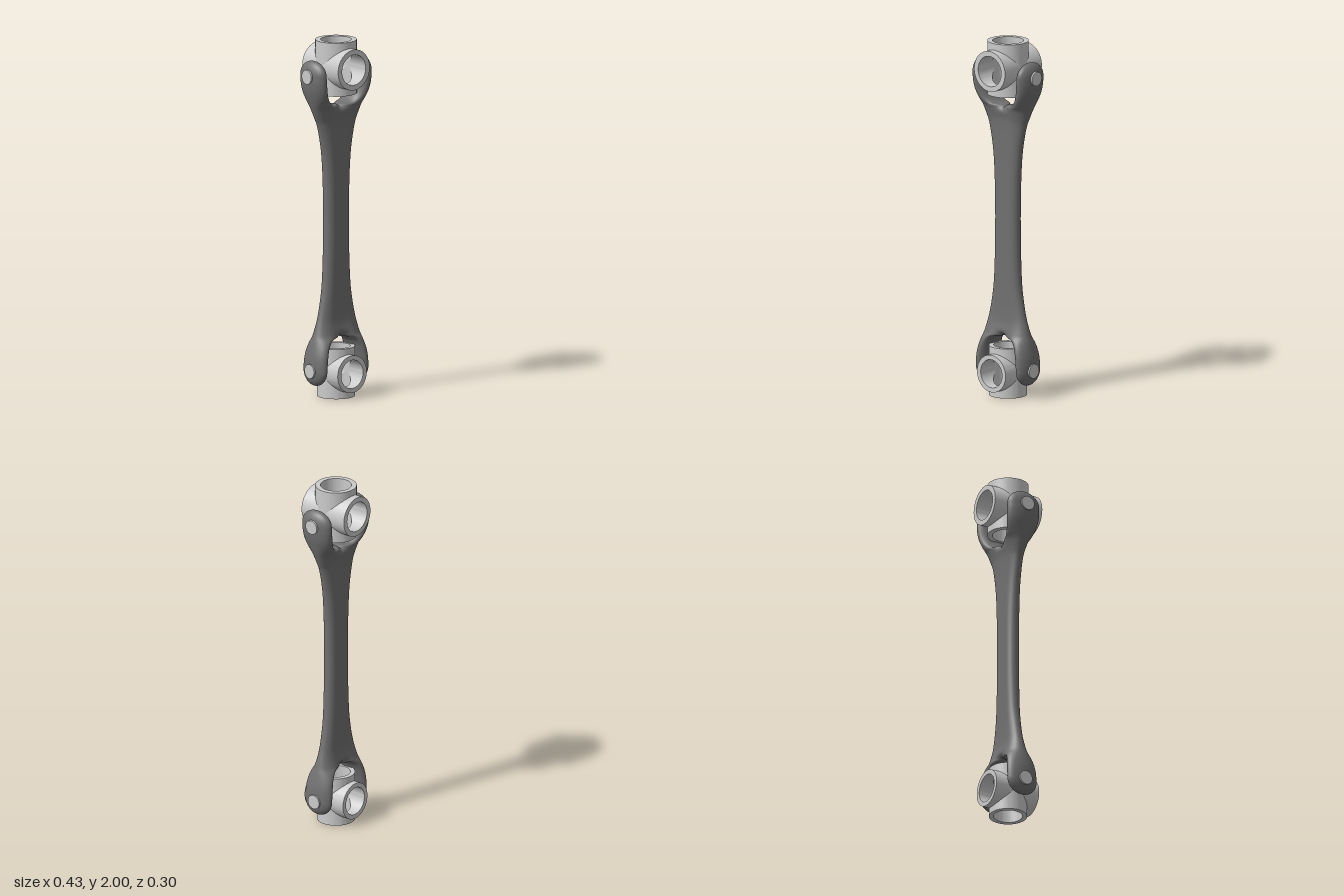
import * as THREE from 'three';
import { mergeVertices, toCreasedNormals } from 'three/addons/utils/BufferGeometryUtils.js';

const steel = new THREE.MeshStandardMaterial({ color: 0xcccccc });
const dark = new THREE.MeshStandardMaterial({ color: 0x707070 });

// Each rib runs from an inner point to an outer point:
// [innerX, innerY, outerX, outerY, half thickness, inner edge rounding]
const UPPER = {
  dir: 1, tip: 0.08,
  ribs: [
    [0, 1.0, 0.082, 1.0, 0.039, 0],
    [0, 1.2, 0.086, 1.2, 0.039, 0],
    [0, 1.35, 0.096, 1.35, 0.039, 0],
    [0, 1.47, 0.112, 1.45, 0.04, 0],
    [0, 1.55, 0.131, 1.53, 0.043, 0],
    [0, 1.59, 0.147, 1.57, 0.049, 0],
    [0, 1.635, 0.165, 1.615, 0.062, 1],
    [0.05, 1.645, 0.179, 1.655, 0.074, 1],
    [0.085, 1.67, 0.191, 1.695, 0.086, 1],
    [0.106, 1.715, 0.201, 1.735, 0.095, 1],
    [0.115, 1.77, 0.207, 1.78, 0.1, 1],
    [0.12, 1.82, 0.207, 1.82, 0.1, 1],
  ],
};
const LOWER = {
  dir: -1, tip: 0.085,
  ribs: [
    [0, 1.0, 0.082, 1.0, 0.039, 0],
    [0, 0.8, 0.085, 0.8, 0.039, 0],
    [0, 0.63, 0.094, 0.63, 0.039, 0],
    [0, 0.51, 0.109, 0.53, 0.04, 0],
    [0, 0.43, 0.126, 0.45, 0.043, 0],
    [0, 0.385, 0.14, 0.4, 0.05, 0],
    [0, 0.34, 0.153, 0.355, 0.062, 1],
    [0.05, 0.328, 0.165, 0.315, 0.072, 1],
    [0.082, 0.3, 0.175, 0.275, 0.081, 1],
    [0.099, 0.25, 0.183, 0.235, 0.088, 1],
    [0.107, 0.2, 0.187, 0.195, 0.091, 1],
    [0.111, 0.16, 0.188, 0.16, 0.091, 1],
  ],
};

// Smooth ribs through the control rows, closed by a rounded tip
function smoothRibs({ ribs, dir, tip }) {
  const inner = new THREE.CatmullRomCurve3(ribs.map(r => new THREE.Vector3(r[0], r[1], r[5])), false, 'catmullrom');
  const outer = new THREE.CatmullRomCurve3(ribs.map(r => new THREE.Vector3(r[2], r[3], r[4])), false, 'catmullrom');
  const out = [];
  const n = (ribs.length - 1) * 6;
  for (let i = 0; i <= n; i++) {
    const a = inner.getPoint(i / n), b = outer.getPoint(i / n);
    out.push([Math.max(0, a.x), a.y, b.x, b.y, b.z, THREE.MathUtils.clamp(a.z, 0, 1)]);
  }
  const [ix, iy, ox, , t] = ribs[ribs.length - 1];
  const mid = (ix + ox) / 2, half = (ox - ix) / 2;
  for (let i = 1; i <= 12; i++) {
    const a = (i / 12) * Math.PI / 2, c = Math.cos(a), y = iy + dir * tip * Math.sin(a);
    out.push([mid - half * c, y, mid + half * c, y, t * c, 1]);
  }
  return out;
}

// Double-ended fork: one quarter of each end, mirrored in x and z
function yokeGeometry() {
  const pos = [], index = [], cols = 22;
  for (const end of [UPPER, LOWER]) {
    const ribs = smoothRibs(end);
    for (const sx of [1, -1]) for (const sz of [1, -1]) {
      const base = pos.length / 3;
      for (const [ix, iy, ox, oy, t, k] of ribs) {
        for (let j = 0; j <= cols; j++) {
          const u = 0.5 - 0.5 * Math.cos(Math.PI * j / cols);
          const vIn = k * Math.max(0, 1 - u / 0.5);
          const vOut = Math.max(0, (u - 0.45) / 0.55);
          const z = t * Math.sqrt(Math.max(0, (1 - vIn * vIn) * (1 - vOut * vOut)));
          pos.push(sx * (ix + (ox - ix) * u), iy + (oy - iy) * u, sz * z);
        }
      }
      const flip = sx * sz * end.dir < 0;
      for (let i = 0; i < ribs.length - 1; i++) for (let j = 0; j < cols; j++) {
        const a = base + i * (cols + 1) + j, b = a + 1, c = a + cols + 1, d = c + 1;
        if (flip) index.push(a, c, b, b, c, d);
        else index.push(a, b, c, b, d, c);
      }
    }
  }
  const g = new THREE.BufferGeometry();
  g.setAttribute('position', new THREE.Float32BufferAttribute(pos, 3));
  g.setIndex(index);
  const merged = mergeVertices(g, 1e-5);
  merged.computeVertexNormals();
  return merged;
}

// Hollow arm whose open end is mitred against the neighbouring arms
function armGeometry(R, r, length) {
  const profile = [[R, 0], [R, length], [r, length], [r, 0]].map(p => new THREE.Vector2(...p));
  const g = new THREE.LatheGeometry(profile, 64);
  const p = g.attributes.position;
  for (let i = 0; i < p.count; i++) if (p.getY(i) < 1e-6) p.setY(i, Math.abs(p.getZ(i)));
  return toCreasedNormals(g, 0.6);
}

// Four-way hollow cross with a pivot pin on each side
function joint(name, { y, R, r, armY, armZ, pinY, pinEnd }) {
  const group = new THREE.Group();
  group.name = name;
  for (let i = 0; i < 4; i++) {
    const arm = new THREE.Mesh(armGeometry(R, r, i % 2 ? armZ : armY), steel);
    arm.name = i % 2 ? 'crossTube' : 'uprightTube';
    arm.position.y = y;
    arm.rotation.x = i * Math.PI / 2;
    group.add(arm);
  }
  const pinStart = R - 0.012;
  for (const s of [1, -1]) {
    const pin = new THREE.Mesh(new THREE.CylinderGeometry(0.04, 0.04, pinEnd - pinStart, 32), steel);
    pin.name = s > 0 ? 'leftPin' : 'rightPin';
    pin.rotation.z = Math.PI / 2;
    pin.position.set(s * (pinStart + pinEnd) / 2, pinY, 0);
    group.add(pin);
  }
  return group;
}

export function createModel() {
  const model = new THREE.Group();
  model.name = 'driveShaft';
  const yoke = new THREE.Mesh(yokeGeometry(), dark);
  yoke.name = 'yokeShaft';
  model.add(
    yoke,
    joint('upperJoint', { y: 1.85, R: 0.114, r: 0.085, armY: 0.15, armZ: 0.151, pinY: 1.815, pinEnd: 0.214 }),
    joint('lowerJoint', { y: 0.14, R: 0.105, r: 0.079, armY: 0.14, armZ: 0.137, pinY: 0.16, pinEnd: 0.194 }),
  );
  return model;
}
